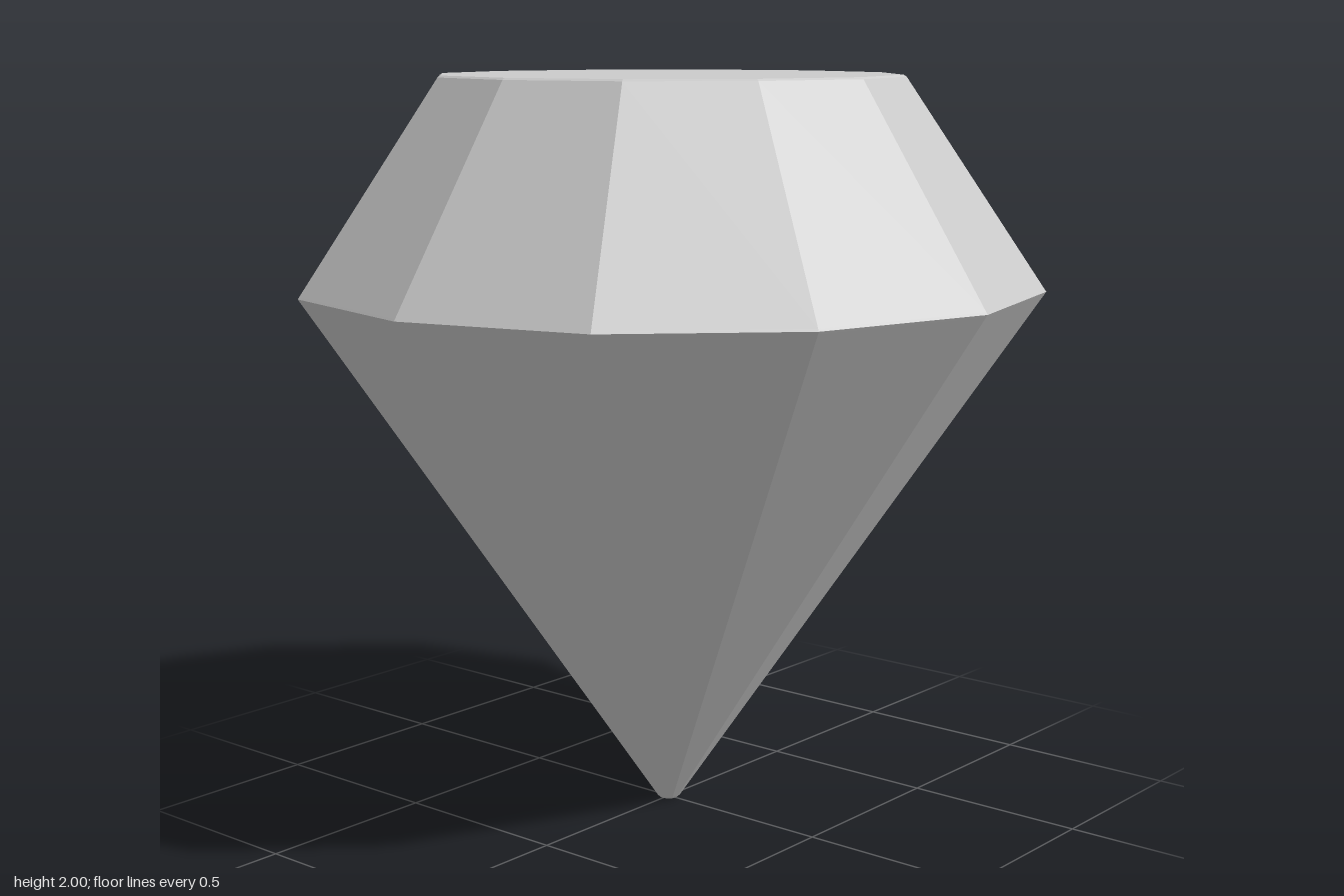
import * as THREE from 'three';

const SIDES = 12;

// Faceted ring of flat faces turned from a [radius, height] profile, bottom to top
function facetedPart(name, profile, material) {
  const points = profile.map(([r, y]) => new THREE.Vector2(r, y));
  const mesh = new THREE.Mesh(new THREE.LatheGeometry(points, SIDES), material);
  mesh.name = name;
  return mesh;
}

export function createModel() {
  const gem = new THREE.Group();
  gem.name = 'cutGem';
  const material = new THREE.MeshStandardMaterial({ color: 0xcccccc, flatShading: true });

  // Lower cone with its small flat tip
  gem.add(facetedPart('pavilion', [[0, 0], [0.026, 0], [0.032, 0.006], [0.996, 1.437]], material));
  // Thin softened edge at the widest point
  gem.add(facetedPart('girdle', [[0.996, 1.437], [1, 1.443], [0.996, 1.449]], material));
  // Sloping upper facets with a fine bevel up to the table
  gem.add(facetedPart('crown', [[0.996, 1.449], [0.626, 1.995], [0.618, 2]], material));
  // Flat top
  gem.add(facetedPart('table', [[0.618, 2], [0, 2]], material));

  return gem;
}
